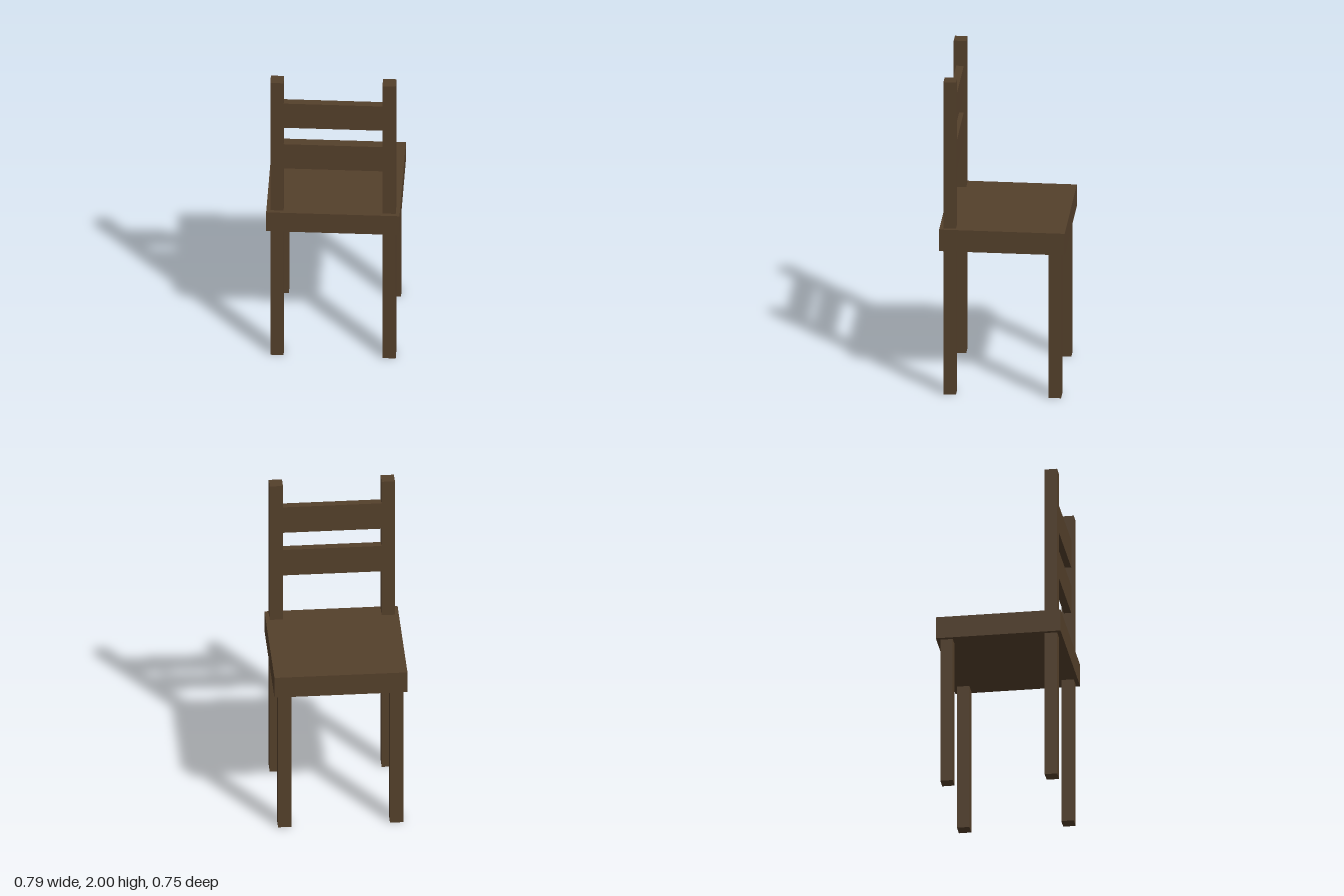
import * as THREE from 'three';

export function createModel() {
  const chair = new THREE.Group();
  chair.name = 'chair';
  const wood = new THREE.MeshStandardMaterial({ color: 0x54402b });
  wood.name = 'darkWood';

  // Box standing on height y0 and reaching y1
  const addBox = (name, width, y0, y1, depth, x, z) => {
    const mesh = new THREE.Mesh(new THREE.BoxGeometry(width, y1 - y0, depth), wood);
    mesh.name = name;
    mesh.position.set(x, (y0 + y1) / 2, z);
    chair.add(mesh);
  };

  const seatBottom = 0.926, seatTop = 1.064;
  addBox('seat', 0.794, seatBottom, seatTop, 0.75, 0, 0);

  // Legs, with the posts of the backrest above the +z pair
  for (const [side, sx] of [['left', 1], ['right', -1]]) {
    const x = sx * 0.334;
    addBox(`${side}PlainLeg`, 0.079, 0, seatBottom, 0.075, x, -0.314);
    addBox(`${side}BackrestLeg`, 0.079, 0, seatBottom, 0.075, x, 0.314);
    addBox(`${side}BackrestPost`, 0.079, seatTop, 2, 0.075, x, 0.314);
  }

  // Backrest slats between the posts
  addBox('lowerSlat', 0.59, 1.363, 1.541, 0.045, 0, 0.314);
  addBox('upperSlat', 0.59, 1.662, 1.84, 0.045, 0, 0.314);

  return chair;
}
